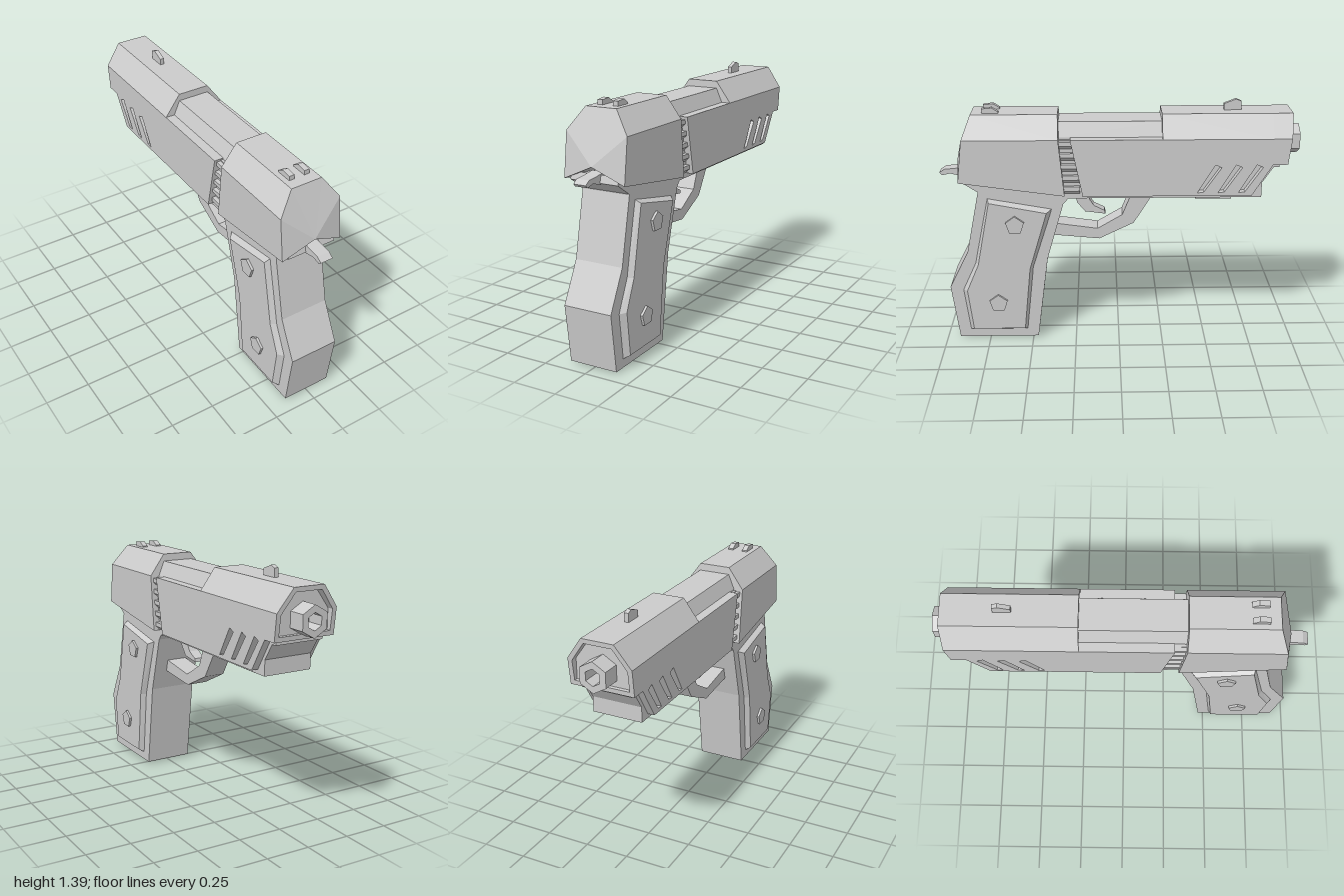
import * as THREE from 'three';

const mat = new THREE.MeshStandardMaterial({ color: 0xcccccc, flatShading: true });

function toShape(pts, holes = []) {
  const shape = new THREE.Shape(pts.map(p => new THREE.Vector2(p[0], p[1])));
  for (const h of holes) shape.holes.push(new THREE.Path(h.map(p => new THREE.Vector2(p[0], p[1]))));
  return shape;
}

// side outline in [z, y], extruded across x from x0 to x1
function sideGeo(pts, x0, x1, holes = []) {
  const flip = a => a.map(([z, y]) => [-z, y]);
  const geo = new THREE.ExtrudeGeometry(toShape(flip(pts), holes.map(flip)), { depth: x1 - x0, bevelEnabled: false });
  return geo.translate(0, 0, x0).rotateY(Math.PI / 2);
}

// cross-section in [x, y], extruded along z from z0 to z1
function lengthGeo(pts, z0, z1, holes = []) {
  return new THREE.ExtrudeGeometry(toShape(pts, holes), { depth: z1 - z0, bevelEnabled: false }).translate(0, 0, z0);
}

// skin over rings (counter-clockwise from the back, ordered by path), with end caps
function loft(rings) {
  const pos = [];
  const tri = (a, b, c) => pos.push(...a, ...b, ...c);
  const n = rings[0].length, last = rings[rings.length - 1];
  for (let r = 0; r < rings.length - 1; r++) {
    for (let i = 0; i < n; i++) {
      const j = (i + 1) % n, a = rings[r], b = rings[r + 1];
      tri(a[i], a[j], b[j]);
      tri(a[i], b[j], b[i]);
    }
  }
  for (let i = 1; i < n - 1; i++) {
    tri(rings[0][0], rings[0][i + 1], rings[0][i]);
    tri(last[0], last[i], last[i + 1]);
  }
  const geo = new THREE.BufferGeometry();
  geo.setAttribute('position', new THREE.Float32BufferAttribute(pos, 3));
  geo.computeVertexNormals();
  return geo;
}

// slide cross-section; bottom, shoulder, top and mid are [y, z], inset shrinks it
function slideRing(bottom, shoulder, top, mid = bottom, inset = 0) {
  const w = 0.178 - inset, t = 0.09 - inset * 0.5;
  return [
    [0, ...mid], [w, ...bottom], [w, ...shoulder], [t, ...top],
    [-t, ...top], [-w, ...shoulder], [-w, ...bottom],
  ];
}

const polygon = (n, r, cx, cy) => Array.from({ length: n }, (_, i) => {
  const a = Math.PI / 2 + i * 2 * Math.PI / n;
  return [cx + r * Math.cos(a), cy + r * Math.sin(a)];
});

export function createModel() {
  const model = new THREE.Group();
  const add = (name, geo) => {
    const mesh = new THREE.Mesh(geo, mat);
    mesh.name = name;
    model.add(mesh);
    return mesh;
  };

  // frame core and dust cover
  add('frame', sideGeo([[0.36, 0.865], [0.36, 1.2], [-0.88, 1.2], [-0.88, 1.04], [-0.85, 1.04],
    [-0.79, 0.95], [-0.79, 0.865]], -0.14, 0.14));
  add('frameTang', sideGeo([[0.88, 0.97], [0.78, 0.905], [0.3, 0.865], [0.3, 0.95], [0.8, 1.0], [0.87, 1.01]], -0.14, 0.14));
  add('accessoryRail', sideGeo([[-0.43, 0.87], [-0.43, 0.835], [-0.63, 0.835], [-0.63, 0.87]], -0.08, 0.08));

  // grip
  add('grip', sideGeo([[0.785, 0.93], [0.78, 0.9], [0.855, 0.545], [0.965, 0.33], [0.925, 0.01], [0.47, 0.01],
    [0.405, 0.5], [0.31, 0.83], [0.28, 0.866], [0.28, 0.93]], -0.14, 0.14));
  add('magazineBase', new THREE.BoxGeometry(0.2, 0.02, 0.34)).position.set(0, 0.01, 0.7);

  // rear slide block with a notched, sloping back
  add('rearSlide', loft([
    slideRing([0.89, 0.3], [1.21, 0.33], [1.33, 0.333]),
    slideRing([0.97, 0.88], [1.21, 0.85], [1.33, 0.805], [1.05, 0.9]),
  ]));

  // front slide with a recessed muzzle face
  add('frontSlide', loft([
    slideRing([1.09, -0.9], [1.2, -0.9], [1.305, -0.9], undefined, 0.025),
    slideRing([1.09, -0.922], [1.2, -0.937], [1.305, -0.948], undefined, 0.025),
    slideRing([1.065, -0.92], [1.21, -0.937], [1.33, -0.95]),
    slideRing([1.065, -0.84], [1.21, -0.84], [1.33, -0.84]),
    slideRing([1.065, -0.235], [1.21, -0.235], [1.33, -0.235]),
  ]));

  // exposed chamber between the slide blocks
  add('chamber', lengthGeo([[-0.125, 1.19], [0.125, 1.19], [0.125, 1.21], [0.09, 1.29],
    [-0.09, 1.29], [-0.125, 1.21]], -0.25, 0.35));

  // slotted side panels
  const slots = [0, 1, 2].map(i => [[-0.43, 0.905], [-0.525, 1.065], [-0.56, 1.05], [-0.465, 0.91]]
    .map(([z, y]) => [z - i * 0.113, y]));
  const panel = [[0.265, 1.21], [0.2, 0.888], [-0.73, 0.888], [-0.84, 1.065], [-0.235, 1.065], [-0.235, 1.21]];

  // bevelled grip plates: outer face shrinks toward its centre
  const plate = [[0.73, 0.87], [0.37, 0.805], [0.485, 0.45], [0.53, 0.055], [0.865, 0.055], [0.895, 0.31], [0.815, 0.48]];

  for (const side of [1, -1]) {
    const span = (a, b) => side > 0 ? [a, b] : [-b, -a];
    const label = side > 0 ? 'left' : 'right';
    add(label + 'SlidePanel', sideGeo(panel, ...span(0.12, 0.178), slots));

    const plateGeo = sideGeo(plate, ...span(0.135, 0.17));
    const p = plateGeo.attributes.position;
    for (let i = 0; i < p.count; i++) {
      if (Math.abs(p.getX(i)) > 0.15) {
        p.setY(i, 0.45 + (p.getY(i) - 0.45) * 0.95);
        p.setZ(i, 0.65 + (p.getZ(i) - 0.65) * 0.88);
      }
    }
    plateGeo.computeVertexNormals();
    add(label + 'GripPlate', plateGeo);

    for (const [z, y] of [[0.58, 0.72], [0.69, 0.24]]) {
      add(label + 'GripScrew', sideGeo(polygon(5, 0.054, z, y), ...span(0.15, 0.184)));
    }
    add(label + 'RearSight', sideGeo([[0.745, 1.32], [0.745, 1.355], [0.69, 1.36], [0.655, 1.338], [0.655, 1.32]],
      side * 0.045 - 0.015, side * 0.045 + 0.015));
  }

  // serration ribs with sloping undersides
  for (let i = 0; i < 5; i++) {
    const y = 0.915 + i * 0.064;
    add('serration', lengthGeo([[-0.13, y - 0.03], [0.13, y - 0.03], [0.163, y], [0.163, y + 0.024],
      [-0.163, y + 0.024], [-0.163, y]], 0.215, 0.34));
  }

  // barrel with a bore
  add('barrel', lengthGeo(polygon(6, 0.083, 0, 1.165), -1, -0.89, [polygon(6, 0.045, 0, 1.165)]));

  // trigger and guard
  add('triggerGuard', sideGeo([[0.39, 0.69], [0.12, 0.652], [-0.02, 0.735], [-0.075, 0.87], [-0.2, 0.87],
    [-0.085, 0.685], [0.11, 0.59], [0.39, 0.617]], -0.06, 0.06));
  add('trigger', sideGeo([[0.25, 0.88], [0.235, 0.8], [0.19, 0.745], [0.075, 0.73], [0.08, 0.75],
    [0.14, 0.78], [0.16, 0.81], [0.19, 0.88]], -0.03, 0.03));

  // hammer and front sight
  add('hammer', sideGeo([[1, 0.985], [0.985, 0.97], [0.94, 0.98], [0.84, 0.955], [0.84, 1.02], [0.91, 1.01], [0.97, 1.005]],
    -0.036, 0.036));
  add('frontSight', sideGeo([[-0.58, 1.32], [-0.58, 1.365], [-0.645, 1.39], [-0.675, 1.378], [-0.675, 1.32]], -0.012, 0.012));

  return model;
}
